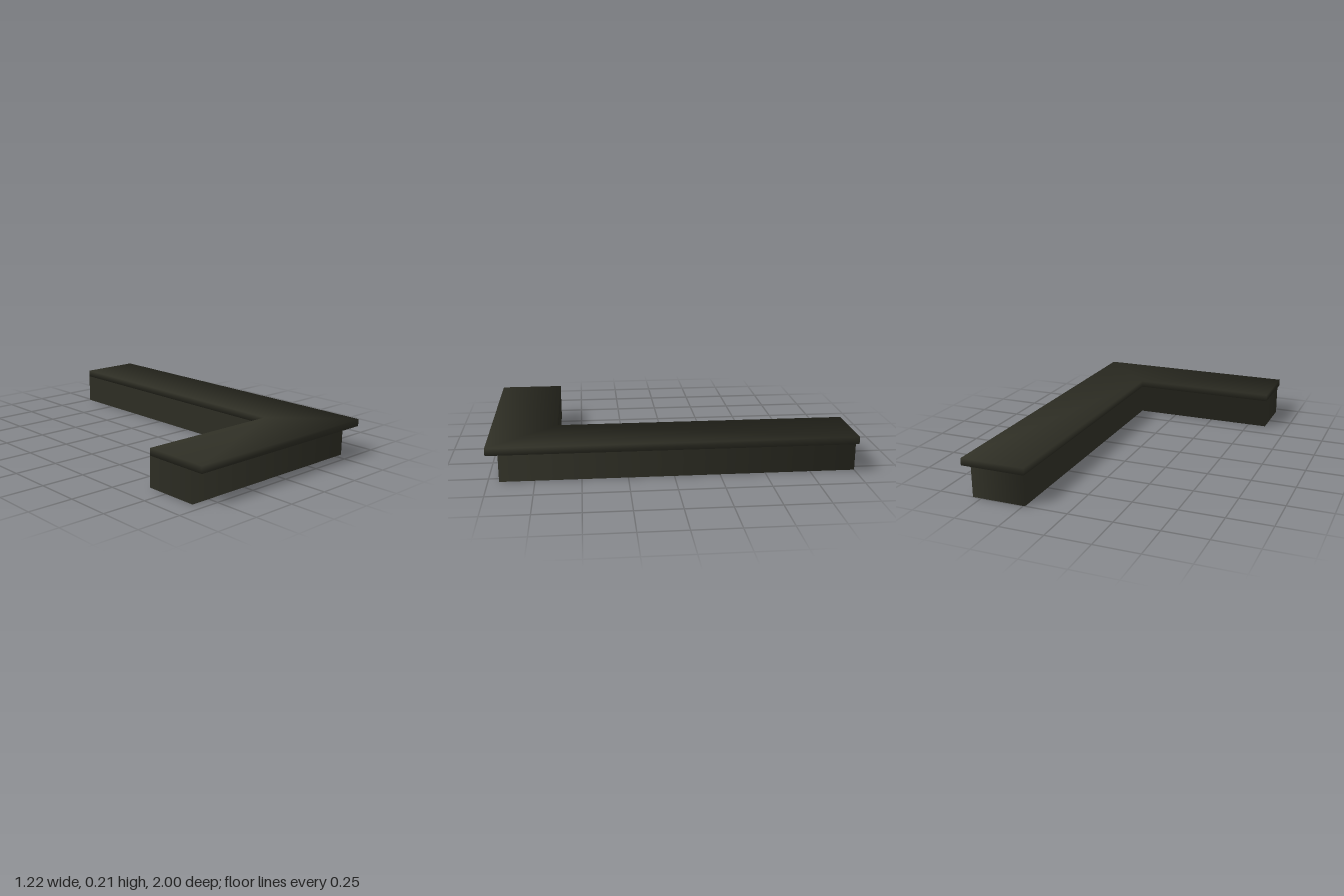
import * as THREE from 'three';

const counterPaint = new THREE.MeshStandardMaterial({ color: 0x303026, side: THREE.DoubleSide });
counterPaint.name = 'dark olive';

// L-shaped outline as [x, z], starting at the inner corner; inset pulls in the two outer edges
function outline(inset) {
  const xo = 0.61 - inset, zo = 1 - inset;
  return [[0.24, 0.63], [-0.61, 0.63], [-0.61, zo], [xo, zo], [xo, -1], [0.24, -1]];
}

// Upright prism with normals softened across every corner; caps are optional
function softPrism(points, y0, y1, capped) {
  const n = points.length;
  const position = [], normal = [], index = [];
  const edgeNormals = points.map((p, i) => {
    const q = points[(i + 1) % n];
    return new THREE.Vector3(-(q[1] - p[1]), 0, q[0] - p[0]).normalize();
  });
  // bottom ring, then top ring
  [y0, y1].forEach((y, ring) => points.forEach(([x, z], i) => {
    const v = edgeNormals[i].clone().add(edgeNormals[(i + n - 1) % n]);
    if (capped) v.y = ring ? 1 : -1;
    v.normalize();
    position.push(x, y, z);
    normal.push(v.x, v.y, v.z);
  }));
  // side walls
  for (let i = 0; i < n; i++) {
    const j = (i + 1) % n;
    index.push(i, j, j + n, i, j + n, i + n);
  }
  // caps fan out from the inner corner
  if (capped) {
    for (let i = 1; i < n - 1; i++) {
      index.push(n, n + i, n + i + 1, 0, i + 1, i);
    }
  }
  const geometry = new THREE.BufferGeometry();
  geometry.setAttribute('position', new THREE.Float32BufferAttribute(position, 3));
  geometry.setAttribute('normal', new THREE.Float32BufferAttribute(normal, 3));
  geometry.setIndex(index);
  return geometry;
}

export function createModel() {
  const group = new THREE.Group();
  group.name = 'cornerCounter';

  // overhanging worktop slab
  const worktop = new THREE.Mesh(softPrism(outline(0), 0.17, 0.21, true), counterPaint);
  worktop.name = 'worktop';

  // hollow base walls, open underneath
  const base = new THREE.Mesh(softPrism(outline(0.06), 0, 0.17, false), counterPaint);
  base.name = 'baseWalls';

  group.add(worktop, base);
  return group;
}
